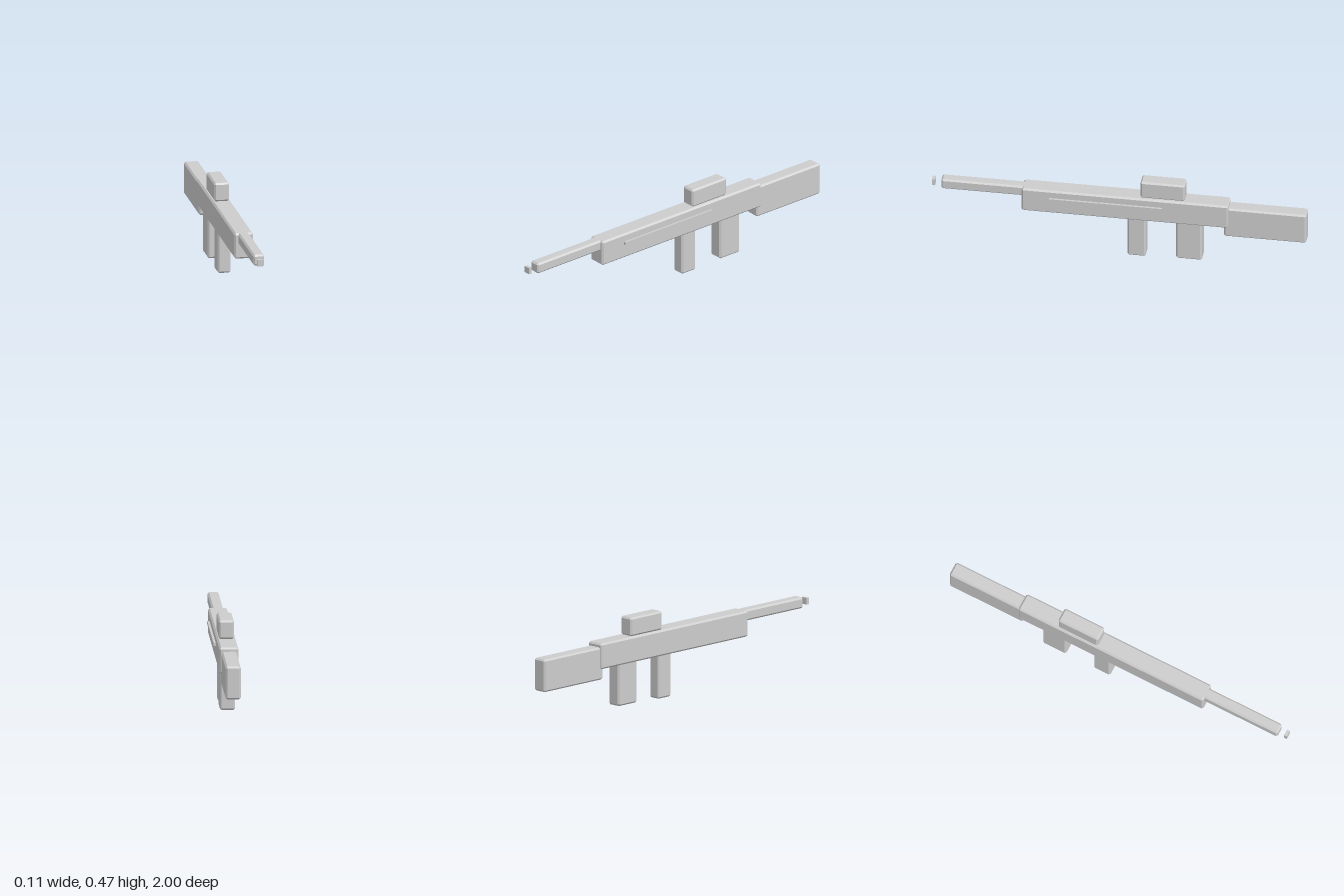
import * as THREE from 'three';
import { ConvexGeometry } from 'three/addons/geometries/ConvexGeometry.js';

const CENTRE_X = -0.007;
const BEVEL = 0.009;

// Box with every edge cut at 45 degrees: three shrunken face rectangles per corner
function chamferedBox(w, h, d, c) {
  const points = [];
  for (const sx of [-1, 1]) for (const sy of [-1, 1]) for (const sz of [-1, 1]) {
    const [x, y, z] = [w / 2, h / 2, d / 2];
    points.push(
      new THREE.Vector3(sx * x, sy * (y - c), sz * (z - c)),
      new THREE.Vector3(sx * (x - c), sy * y, sz * (z - c)),
      new THREE.Vector3(sx * (x - c), sy * (y - c), sz * z)
    );
  }
  return new ConvexGeometry(points);
}

export function createModel() {
  const model = new THREE.Group();
  model.name = 'blockRifle';
  const grey = new THREE.MeshStandardMaterial({ color: 0xcccccc });
  grey.name = 'light grey';

  // Adds a block from its x, y and z extents
  function addBlock(name, [x0, x1], [y0, y1], [z0, z1], bevel = BEVEL) {
    const size = [x1 - x0, y1 - y0, z1 - z0];
    const geometry = bevel ? chamferedBox(...size, bevel) : new THREE.BoxGeometry(...size);
    const mesh = new THREE.Mesh(geometry, grey);
    mesh.name = name;
    mesh.position.set((x0 + x1) / 2, (y0 + y1) / 2, (z0 + z1) / 2);
    model.add(mesh);
  }
  const across = (width) => [CENTRE_X - width / 2, CENTRE_X + width / 2];

  // Main length: body, barrel and stock
  addBlock('body', across(0.1), [0.234, 0.373], [-0.585, 0.517]);
  addBlock('barrel', across(0.06), [0.314, 0.373], [0.49, 0.949]);
  addBlock('stock', across(0.08), [0.176, 0.352], [-1, -0.56]);

  // Sight block on top
  addBlock('scope', across(0.08), [0.373, 0.473], [-0.352, -0.115]);

  // Blocks below the body
  addBlock('frontGrip', across(0.07), [0, 0.25], [-0.143, -0.045]);
  addBlock('rearGrip', across(0.08), [0.01, 0.25], [-0.444, -0.305]);

  // Square-edged details
  addBlock('sideRail', [0.035, 0.055], [0.314, 0.33], [-0.233, 0.37], 0);
  addBlock('muzzleTip', across(0.036), [0.325, 0.361], [0.983, 1], 0);

  return model;
}
